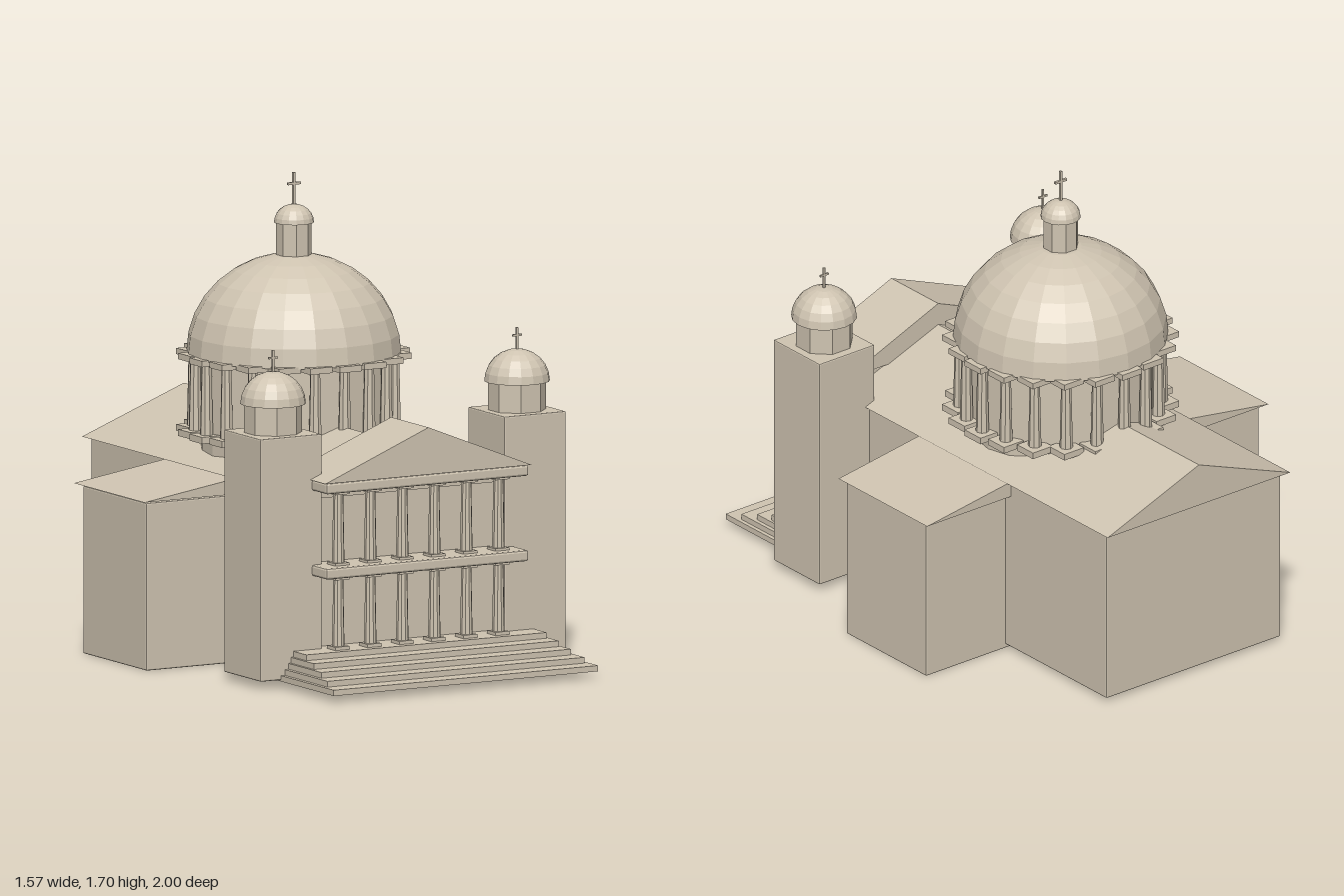
import * as THREE from 'three';
import { RoundedBoxGeometry } from 'three/addons/geometries/RoundedBoxGeometry.js';

export function createModel() {
  const root = new THREE.Group();
  root.name = 'cathedral';
  const stone = new THREE.MeshStandardMaterial({ color: 0xcfc4b1, flatShading: true });
  stone.name = 'stone';

  const add = (name, geometry, parent = root) => {
    const mesh = new THREE.Mesh(geometry, stone);
    mesh.name = name;
    parent.add(mesh);
    return mesh;
  };
  // Boxes are given by their limits on each axis
  const box = (name, x0, x1, y0, y1, z0, z1, parent, bevel = 0) => {
    const size = [x1 - x0, y1 - y0, z1 - z0];
    const geometry = bevel ? new RoundedBoxGeometry(...size, 1, bevel) : new THREE.BoxGeometry(...size);
    const mesh = add(name, geometry, parent);
    mesh.position.set((x0 + x1) / 2, (y0 + y1) / 2, (z0 + z1) / 2);
    return mesh;
  };
  // Gabled prism with its ridge along z
  const gable = (name, halfWidth, y0, y1, z0, z1) => {
    const shape = new THREE.Shape([
      new THREE.Vector2(-halfWidth, y0), new THREE.Vector2(halfWidth, y0), new THREE.Vector2(0, y1),
    ]);
    const mesh = add(name, new THREE.ExtrudeGeometry(shape, { depth: z1 - z0, bevelEnabled: false }));
    mesh.position.z = z0;
  };
  const drum = (name, top, bottom, y0, y1, sides, parent) => {
    const mesh = add(name, new THREE.CylinderGeometry(top, bottom, y1 - y0, sides), parent);
    mesh.position.y = (y0 + y1) / 2;
    return mesh;
  };
  // Half-sphere closed underneath
  const dome = (name, radius, height, y, sides, rings, parent) => {
    const profile = [new THREE.Vector2(0, 0)];
    for (let i = 0; i <= rings; i++) {
      const a = (i / rings) * Math.PI / 2;
      profile.push(new THREE.Vector2(i === rings ? 0 : radius * Math.cos(a), height * Math.sin(a)));
    }
    add(name, new THREE.LatheGeometry(profile, sides), parent).position.y = y;
  };
  const cross = (y0, y1, armY, armWidth, t, parent) => {
    box('crossPost', -t / 2, t / 2, y0, y1, -t / 2, t / 2, parent);
    box('crossArm', -armWidth / 2, armWidth / 2, armY - t / 2, armY + t / 2, -t / 2, t / 2, parent);
  };

  // Nave and transept
  box('naveWalls', -0.4, 0.4, 0.015, 0.67, -0.97, 0.58, root, 0.005);
  gable('naveRoof', 0.42, 0.67, 0.83, -1, 0.61);
  box('transeptWalls', -0.765, 0.765, 0, 0.605, -0.4, 0.05, root, 0.005);
  gable('transeptRoof', 0.785, 0.612, 0.73, -0.43, 0.07);

  // Front steps
  for (let i = 0; i < 5; i++) {
    const w = [0.545, 0.53, 0.515, 0.505, 0.495][i];
    box('step', -w, w, 0.025 + i * 0.021, 0.046 + i * 0.021, 0.5, 1 - i * 0.07);
  }

  // Two-storey portico
  for (const [y0, y1] of [[0.13, 0.395], [0.432, 0.703]]) {
    for (let i = 0; i < 6; i++) {
      const column = new THREE.Group();
      column.name = 'porticoColumn';
      column.position.set((i - 2.5) * 0.132, 0, 0.662);
      root.add(column);
      drum('columnShaft', 0.018, 0.023, y0, y1, 10, column);
      box('columnBase', -0.029, 0.029, y0, y0 + 0.012, -0.029, 0.029, column);
      box('columnCapital', -0.029, 0.029, y1 - 0.012, y1, -0.029, 0.029, column);
    }
    box('entablature', -0.417, 0.417, y1, y1 + 0.04, 0.48, 0.73, root, 0.008);
  }
  gable('pediment', 0.425, 0.743, 0.913, 0.47, 0.735);

  // Bell towers
  for (const side of [-1, 1]) {
    const tower = new THREE.Group();
    tower.name = side > 0 ? 'leftTower' : 'rightTower';
    tower.position.set(side * 0.503, 0, 0.497);
    root.add(tower);
    box('towerShaft', -0.127, 0.127, 0.03, 0.905, -0.13, 0.13, tower, 0.005);
    drum('towerDrum', 0.105, 0.105, 0.9, 1.01, 8, tower).rotation.y = Math.PI / 8;
    dome('towerDome', 0.118, 0.115, 1.008, 16, 6, tower);
    cross(1.115, 1.2, 1.172, 0.038, 0.007, tower);
  }

  // Main dome with its ring of columns
  const main = new THREE.Group();
  main.name = 'mainDome';
  main.position.z = -0.22;
  root.add(main);
  drum('mainDrum', 0.335, 0.335, 0.6, 1.06, 20, main);
  for (let i = 0; i < 20; i++) {
    const a = (i / 20) * Math.PI * 2;
    const column = new THREE.Group();
    column.name = 'drumColumn';
    column.position.set(Math.sin(a) * 0.36, 0, Math.cos(a) * 0.36);
    main.add(column);
    drum('drumColumnShaft', 0.018, 0.024, 0.77, 1.045, 8, column);
    box('drumColumnBase', -0.045, 0.045, 0.758, 0.782, -0.045, 0.045, column);
    box('drumColumnCapital', -0.045, 0.045, 1.035, 1.057, -0.045, 0.045, column);
  }
  dome('domeShell', 0.385, 0.36, 1.05, 20, 8, main);

  // Lantern
  drum('lanternDrum', 0.064, 0.064, 1.38, 1.525, 8, main).rotation.y = Math.PI / 8;
  dome('lanternDome', 0.072, 0.066, 1.52, 16, 6, main);
  cross(1.58, 1.7, 1.66, 0.052, 0.009, main);
  return root;
}
